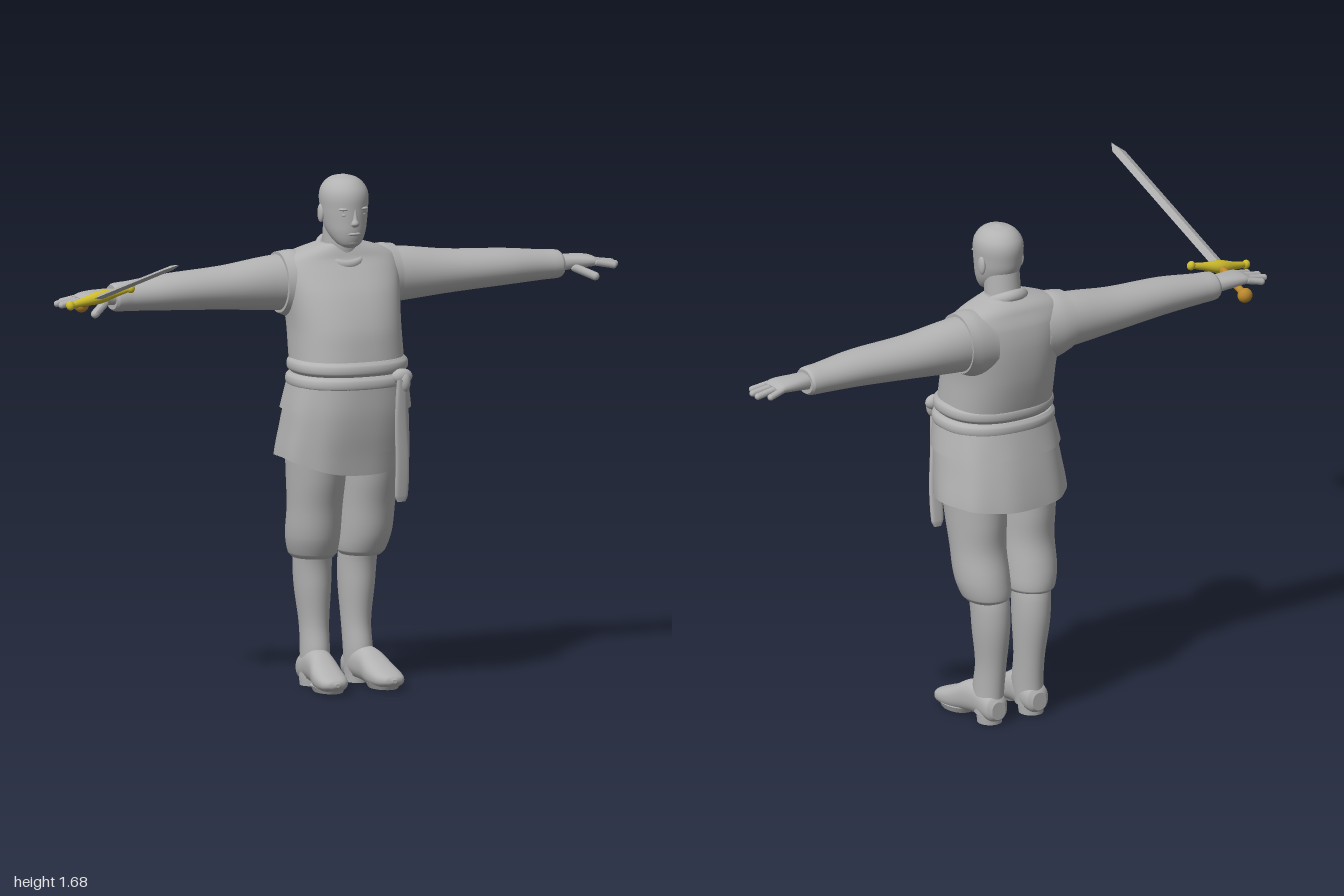
import * as THREE from 'three';

const mat = (name, color, extra = {}) => {
  const m = new THREE.MeshStandardMaterial({ color, ...extra });
  m.name = name;
  return m;
};

// Smooth value of column c of the rows [y, cx, cz, rx, rz] at height y
function sample(rows, y, c) {
  const last = rows.length - 1;
  let k = 0;
  while (k < last - 1 && y > rows[k + 1][0]) k++;
  const slope = (i) => {
    const a = rows[Math.max(0, i - 1)], b = rows[Math.min(last, i + 1)];
    return (b[c] - a[c]) / (b[0] - a[0]);
  };
  const p = rows[k], q = rows[k + 1], h = q[0] - p[0];
  const t = THREE.MathUtils.clamp((y - p[0]) / h, 0, 1), t2 = t * t, t3 = t2 * t;
  return (2 * t3 - 3 * t2 + 1) * p[c] + (t3 - 2 * t2 + t) * h * slope(k)
    + (3 * t2 - 2 * t3) * q[c] + (t3 - t2) * h * slope(k + 1);
}

// Skin of rounded cross-sections stacked up the y axis; hem(angle) varies the lower edge
function loft(rows, { n = 40, sub = 5, e = 2, hem = null, ripple = 0 } = {}) {
  const y0 = rows[0][0], y1 = rows[rows.length - 1][0], levels = [y0];
  for (let k = 1; k < rows.length; k++)
    for (let s = 1; s <= sub; s++) levels.push(THREE.MathUtils.lerp(rows[k - 1][0], rows[k][0], s / sub));
  const pos = [], idx = [], w = n, pw = (v) => Math.sign(v) * Math.abs(v) ** (2 / e);
  for (const lv of levels) {
    for (let i = 0; i < n; i++) {
      const a = (i / n) * Math.PI * 2, v = (lv - y0) / (y1 - y0);
      const y = hem ? THREE.MathUtils.lerp(hem(a), y1, v) : lv;
      const f = 1 + ripple * Math.sin(9 * a) * (1 - v);
      const rx = Math.max(0.0005, sample(rows, y, 3)) * f, rz = Math.max(0.0005, sample(rows, y, 4)) * f;
      pos.push(sample(rows, y, 1) + rx * pw(Math.sin(a)), y, sample(rows, y, 2) + rz * pw(Math.cos(a)));
    }
  }
  for (let j = 0; j < levels.length - 1; j++)
    for (let i = 0; i < n; i++) {
      const a = j * w + i, b = j * w + ((i + 1) % n), c = b + w, d = a + w;
      idx.push(a, b, c, a, c, d);
    }
  // Flat end caps with their own corners
  if (!hem) for (const top of [false, true]) {
    const row = top ? levels.length - 1 : 0, r = rows[top ? rows.length - 1 : 0], s = pos.length / 3;
    pos.push(r[1], r[0], r[2]);
    for (let i = 0; i < n; i++) pos.push(...pos.slice((row * w + i) * 3, (row * w + i) * 3 + 3));
    for (let i = 0; i < n; i++) {
      const a = s + 1 + i, b = s + 1 + ((i + 1) % n);
      top ? idx.push(s, a, b) : idx.push(s, b, a);
    }
  }
  const g = new THREE.BufferGeometry();
  g.setAttribute('position', new THREE.Float32BufferAttribute(pos, 3));
  g.setIndex(idx);
  g.computeVertexNormals();
  return g;
}
// Same skin along x with rows [x, cy, cz, ry, rz], or along z with rows [z, cx, cy, rx, ry]
const loftX = (rows, o) => loft(rows.map(([x, cy, cz, ry, rz]) => [x, -cy, cz, ry, rz]), o).rotateZ(-Math.PI / 2);
const loftZ = (rows, o) => loft(rows.map(([z, cx, cy, rx, ry]) => [z, cx, -cy, rx, ry]), o).rotateX(Math.PI / 2);

function flipX(geo) {
  const g = geo.clone().scale(-1, 1, 1), ix = g.index.array;
  for (let i = 0; i < ix.length; i += 3) [ix[i], ix[i + 1]] = [ix[i + 1], ix[i]];
  g.computeVertexNormals();
  return g;
}
const ball = (x, y, z, rx, ry, rz) => new THREE.SphereGeometry(1, 20, 14).scale(rx, ry, rz).translate(x, y, z);
function finger(a, b, r) {
  const p = new THREE.Vector3(...a), d = new THREE.Vector3(...b).sub(p), len = d.length();
  const g = new THREE.CapsuleGeometry(r, len - 2 * r, 6, 12).translate(0, len / 2, 0);
  g.applyQuaternion(new THREE.Quaternion().setFromUnitVectors(new THREE.Vector3(0, 1, 0), d.normalize()));
  return g.translate(p.x, p.y, p.z);
}

export function createModel() {
  const root = new THREE.Group();
  root.name = 'swordsman';
  const grey = mat('body grey', 0xb2b2b2);
  const cloth = grey.clone();
  cloth.name = 'skirt grey';
  cloth.side = THREE.DoubleSide;
  const steel = mat('blade steel', 0xb0b0b0), gold = mat('guard gold', 0xcdbb2c), bronze = mat('hilt bronze', 0xb8862c);
  const add = (name, geo, m = grey, parent = root) => {
    const mesh = new THREE.Mesh(geo, m);
    mesh.name = name;
    parent.add(mesh);
  };
  const pair = (name, geo) => {
    add(name + 'Left', geo);
    add(name + 'Right', flipX(geo));
  };

  // Head and face
  add('head', loft([[1.452, 0, -0.215, 0.018, 0.02], [1.465, 0, -0.222, 0.04, 0.04], [1.5, 0, -0.243, 0.061, 0.071],
    [1.54, 0, -0.256, 0.071, 0.086], [1.58, 0, -0.26, 0.076, 0.091], [1.62, 0, -0.262, 0.078, 0.092],
    [1.65, 0, -0.263, 0.068, 0.08], [1.675, 0, -0.264, 0.041, 0.05], [1.685, 0, -0.265, 0.004, 0.004]]));
  add('neck', loft([[1.36, 0, -0.3, 0.065, 0.065], [1.44, 0, -0.29, 0.06, 0.062], [1.54, 0, -0.28, 0.058, 0.06]]));
  add('nose', loft([[1.522, 0, -0.178, 0.01, 0.008], [1.533, 0, -0.174, 0.015, 0.017], [1.55, 0, -0.176, 0.009, 0.014],
    [1.585, 0, -0.18, 0.007, 0.01]], { n: 16 }));
  add('mouth', ball(0, 1.5, -0.18, 0.024, 0.007, 0.012));
  add('chin', ball(0, 1.472, -0.195, 0.025, 0.014, 0.016));
  pair('brow', ball(0.03, 1.582, -0.187, 0.022, 0.006, 0.014));
  pair('eye', ball(0.03, 1.563, -0.19, 0.014, 0.006, 0.013));
  pair('ear', ball(0.075, 1.56, -0.277, 0.009, 0.031, 0.018));

  // Tunic, collar and shoulder edges
  add('tunic', loft([[1.05, 0, -0.235, 0.186, 0.158], [1.12, 0, -0.248, 0.184, 0.163], [1.2, 0, -0.263, 0.184, 0.163],
    [1.3, 0, -0.287, 0.195, 0.144], [1.37, 0, -0.306, 0.205, 0.115], [1.41, 0, -0.312, 0.195, 0.092],
    [1.435, 0, -0.31, 0.15, 0.08], [1.46, 0, -0.3, 0.07, 0.06]], { n: 56, e: 2.4 }));
  add('collar', new THREE.TorusGeometry(0.07, 0.014, 12, 40).scale(1, 1.12, 1.4)
    .rotateX(Math.PI / 2 + 0.5).translate(0, 1.428, -0.288));
  pair('armhole', loftX([[0.1, 1.32, -0.322, 0.11, 0.1], [0.16, 1.326, -0.326, 0.112, 0.1],
    [0.205, 1.333, -0.33, 0.1, 0.095]]));

  // Sleeves and open hands
  pair('sleeve', loftX([[0.15, 1.332, -0.332, 0.095, 0.088], [0.25, 1.332, -0.333, 0.088, 0.085],
    [0.4, 1.329, -0.33, 0.072, 0.08], [0.6, 1.33, -0.322, 0.06, 0.072], [0.74, 1.326, -0.325, 0.049, 0.058],
    [0.79, 1.325, -0.325, 0.046, 0.054], [0.8, 1.325, -0.325, 0.04, 0.048]]));
  pair('palm', loftX([[0.77, 1.325, -0.322, 0.028, 0.036], [0.84, 1.33, -0.325, 0.024, 0.042],
    [0.9, 1.33, -0.32, 0.019, 0.048], [0.928, 1.326, -0.32, 0.011, 0.044]], { n: 24, e: 2.4 }));
  const fingers = [[-0.281, 0.978, -0.268], [-0.307, 0.998, -0.302], [-0.333, 1, -0.336], [-0.357, 0.97, -0.368]];
  fingers.forEach(([z, x, tz], i) => pair('finger' + (i + 1), finger([0.9, 1.329, z], [x, 1.314, tz], 0.011)));
  pair('thumb', finger([0.83, 1.318, -0.3], [0.903, 1.283, -0.242], 0.014));

  // Two layers of skirt with shaped hems
  const skirtRows = (o) => [[0.71, 0, -0.28, 0.226 + o, 0.172 + o], [0.78, 0, -0.271, 0.222 + o, 0.174 + o],
    [0.86, 0, -0.257, 0.212 + o, 0.175 + o], [0.93, 0, -0.245, 0.203 + o, 0.172 + o], [1.02, 0, -0.233, 0.186 + o, 0.163 + o]];
  add('lowerSkirt', loft(skirtRows(0), {
    n: 96, e: 2.3, ripple: 0.012,
    hem: (a) => 0.768 - (Math.cos(a) > 0 ? 0.052 : 0.018) * Math.cos(a) ** 2,
  }), cloth);
  add('upperSkirt', loft(skirtRows(0.009), {
    n: 96, e: 2.3, ripple: 0.008,
    hem: (a) => Math.cos(a) > 0 ? 0.79 + 0.135 * THREE.MathUtils.smoothstep(Math.abs(Math.sin(a)), 0.4, 0.75) : 0.925,
  }), cloth);

  // Double belt with a knot and hanging end
  for (const [name, y, r] of [['lowerBelt', 0.998, 0.004], ['upperBelt', 1.046, 0]])
    add(name, loft([[y, 0, -0.233, 0.184 + r, 0.161 + r], [y + 0.012, 0, -0.233, 0.195 + r, 0.17 + r],
      [y + 0.034, 0, -0.234, 0.195 + r, 0.17 + r], [y + 0.047, 0, -0.235, 0.184 + r, 0.161 + r]], { n: 64, e: 2.3 }));
  add('knot', ball(0.125, 1.038, -0.08, 0.036, 0.026, 0.022));
  add('knotLoop', ball(0.13, 1.02, -0.07, 0.02, 0.034, 0.018));
  add('beltEnd', loft([[0.62, 0.137, -0.113, 0.014, 0.006], [0.64, 0.137, -0.111, 0.022, 0.009],
    [0.75, 0.134, -0.096, 0.023, 0.009], [0.9, 0.122, -0.082, 0.021, 0.01], [1.03, 0.118, -0.066, 0.016, 0.01]], { n: 20, e: 3 }));

  // Breeches and boots
  pair('breeches', loft([[0.425, 0.085, -0.32, 0.066, 0.078], [0.44, 0.086, -0.318, 0.078, 0.091],
    [0.5, 0.092, -0.303, 0.087, 0.102], [0.6, 0.094, -0.283, 0.088, 0.103], [0.7, 0.095, -0.272, 0.092, 0.122],
    [0.82, 0.096, -0.262, 0.094, 0.138], [0.95, 0.09, -0.25, 0.085, 0.13]]));
  pair('bootShaft', loft([[0.03, 0.08, -0.325, 0.045, 0.055], [0.1, 0.077, -0.318, 0.046, 0.062],
    [0.2, 0.075, -0.33, 0.047, 0.06], [0.32, 0.078, -0.335, 0.058, 0.072], [0.4, 0.08, -0.333, 0.062, 0.074],
    [0.46, 0.082, -0.32, 0.063, 0.075]]));
  const foot = loftZ([[-0.385, 0.08, 0.05, 0.026, 0.03], [-0.37, 0.08, 0.055, 0.042, 0.045], [-0.3, 0.081, 0.07, 0.047, 0.055],
    [-0.24, 0.088, 0.065, 0.048, 0.055], [-0.18, 0.095, 0.045, 0.055, 0.043], [-0.12, 0.1, 0.035, 0.05, 0.028],
    [-0.092, 0.102, 0.034, 0.032, 0.016], [-0.083, 0.102, 0.034, 0.008, 0.006]], { e: 2.3 });
  pair('foot', foot);
  pair('heel', loft([[0, 0.081, -0.332, 0.04, 0.042], [0.04, 0.081, -0.332, 0.043, 0.046]], { n: 24, sub: 1 }));
  pair('sole', loft([[0.003, 0.098, -0.17, 0.044, 0.065], [0.022, 0.098, -0.17, 0.053, 0.078]], { n: 28, sub: 1 }));

  // Sword, pointing forward and up from the right hand
  const sword = new THREE.Group();
  sword.name = 'sword';
  sword.position.set(-0.883, 1.345, -0.235);
  sword.lookAt(-0.915, 1.555, 0.44);
  sword.rotateZ(0.2);
  const blade = loftZ([[0, 0, 0, 0.027, 0.009], [0.66, 0, 0, 0.026, 0.008], [0.708, 0, 0, 0.001, 0.001]], { n: 4, sub: 1 }).toNonIndexed();
  blade.computeVertexNormals();
  add('blade', blade, steel, sword);
  add('guard', loftX([[-0.115, 0, 0.006, 0.009, 0.008], [-0.06, 0, 0, 0.014, 0.013], [0, 0, -0.003, 0.021, 0.023],
    [0.06, 0, 0, 0.014, 0.013], [0.115, 0, 0.006, 0.009, 0.008]], { n: 20 }), gold, sword);
  for (const s of [-1, 1]) add('guardKnob', ball(s * 0.11, 0, 0.006, 0.014, 0.016, 0.014), gold, sword);
  add('grip', new THREE.CylinderGeometry(0.014, 0.012, 0.15, 16).rotateX(Math.PI / 2).translate(0, 0, -0.085), bronze, sword);
  add('pommel', ball(0, 0, -0.168, 0.025, 0.025, 0.023), bronze, sword);
  root.add(sword);
  return root;
}
